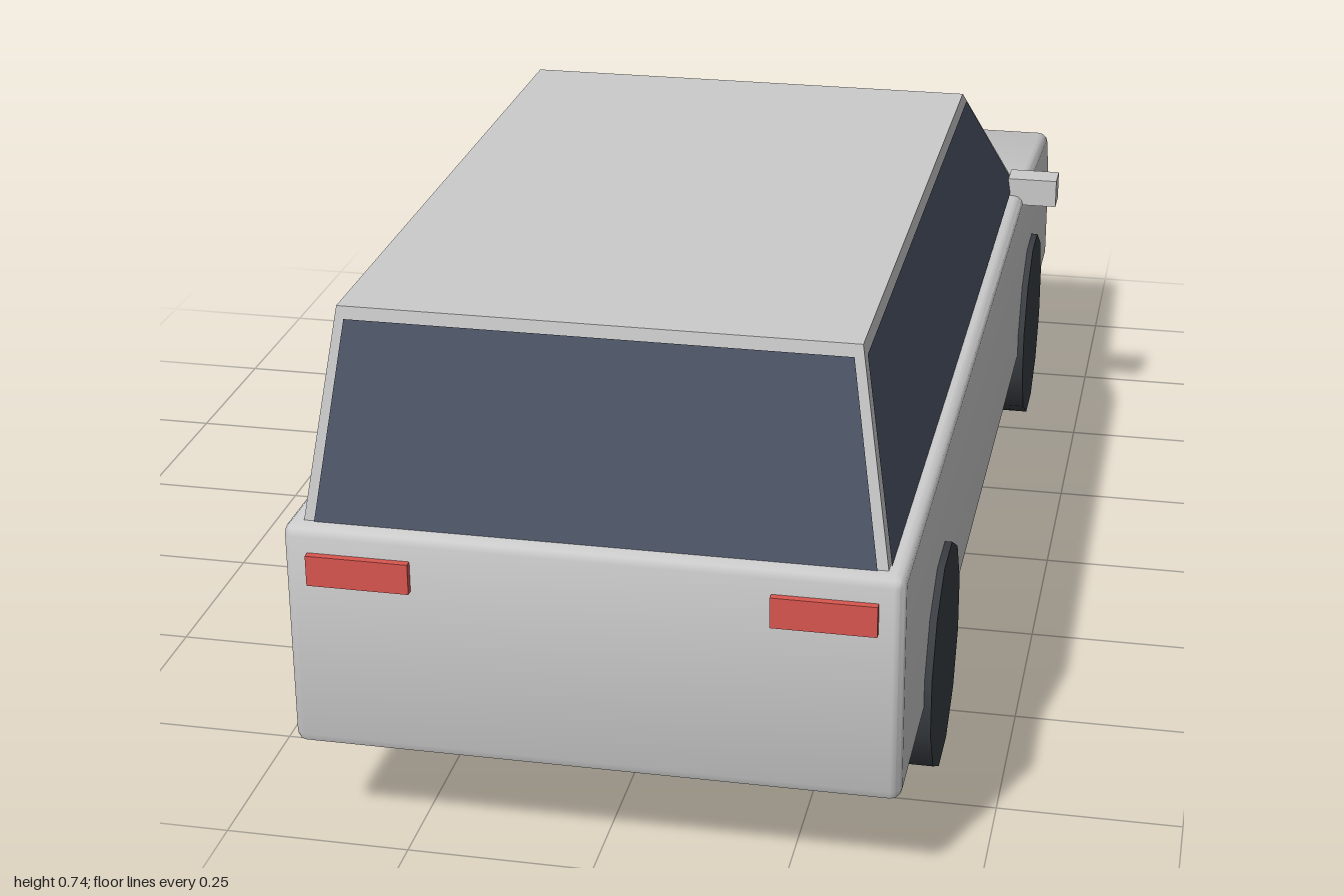
import * as THREE from 'three';
import { toCreasedNormals } from 'three/addons/utils/BufferGeometryUtils.js';

const mat = (color) => new THREE.MeshStandardMaterial({ color });
const V = (x, y, z) => new THREE.Vector3(x, y, z);

export function createModel() {
  const car = new THREE.Group();
  const paint = mat(0xcccccc);
  const glass = mat(0x4f586a);
  glass.side = THREE.DoubleSide;
  const rubber = mat(0x3a3e43);
  const red = mat(0xd9564f);
  const lamp = mat(0xc8ccd8);

  const add = (name, geometry, material) => {
    const mesh = new THREE.Mesh(geometry, material);
    mesh.name = name;
    car.add(mesh);
    return mesh;
  };

  // Flat-shaded polygon surface from quads, corners counter-clockwise
  const quads = (list) => {
    const points = list.flatMap(([a, b, c, d]) => [a, b, c, a, c, d]);
    const geometry = new THREE.BufferGeometry().setFromPoints(points);
    geometry.computeVertexNormals();
    return geometry;
  };

  // Lower body: side profile (z, y) extruded across the width
  const profile = [
    [-0.975, 0.14], [0.975, 0.14], [0.986, 0.144], [0.99, 0.155],
    [0.99, 0.442], [0.986, 0.452], [0.975, 0.457],
    [-0.5, 0.45], [-0.9, 0.412], [-0.925, 0.402], [-0.98, 0.325],
    [-0.99, 0.295], [-0.99, 0.155], [-0.986, 0.144],
  ];
  const shape = new THREE.Shape(profile.map(([z, y]) => new THREE.Vector2(z, y)));
  const bevel = 0.014;
  const bodyGeometry = new THREE.ExtrudeGeometry(shape, {
    depth: 0.8 - 2 * bevel, bevelEnabled: true, bevelSize: bevel,
    bevelThickness: bevel, bevelOffset: -bevel, bevelSegments: 3,
  });
  bodyGeometry.translate(0, 0, -0.4 + bevel).rotateY(-Math.PI / 2);
  add('body', toCreasedNormals(bodyGeometry, 0.8), paint);

  // Cabin: tapered box with a raked windscreen
  const [bl, br] = [V(0.378, 0.445, 0.972), V(-0.378, 0.445, 0.972)];
  const [fl, fr] = [V(0.378, 0.445, -0.525), V(-0.378, 0.445, -0.525)];
  const [tbl, tbr] = [V(0.333, 0.737, 0.925), V(-0.333, 0.737, 0.925)];
  const [tfl, tfr] = [V(0.333, 0.737, -0.088), V(-0.333, 0.737, -0.088)];
  const sides = {
    rearWindow: [br, bl, tbl, tbr],
    windscreen: [fl, fr, tfr, tfl],
    leftWindow: [bl, fl, tfl, tbl],
    rightWindow: [fr, br, tbr, tfr],
  };
  add('cabin', quads([...Object.values(sides), [tbr, tbl, tfl, tfr]]), paint);

  // Window panes: each cabin side shrunk by a frame margin, slightly proud
  for (const [name, corners] of Object.entries(sides)) {
    const [a, b, c, d] = corners;
    const at = (u, v) => a.clone().lerp(b, u).lerp(d.clone().lerp(c, u), v);
    const normal = b.clone().sub(a).cross(d.clone().sub(a)).normalize();
    const m = 0.014 / a.distanceTo(b);
    const pane = [at(m, 0.03), at(1 - m, 0.03), at(1 - m, 0.945), at(m, 0.945)];
    pane.forEach((p) => p.addScaledVector(normal, 0.002));
    add(name, quads([pane]), glass);
  }

  // Twelve-sided wheels resting on a flat
  const apothem = 0.153;
  const wheelGeometry = new THREE.CylinderGeometry(
    apothem / Math.cos(Math.PI / 12), apothem / Math.cos(Math.PI / 12), 0.105, 12);
  wheelGeometry.rotateY(Math.PI / 12).rotateZ(Math.PI / 2);

  for (const [side, s] of [['left', 1], ['right', -1]]) {
    for (const [end, z] of [['Rear', 0.615], ['Front', -0.615]]) {
      add(`${side}${end}Wheel`, wheelGeometry, rubber).position.set(s * 0.3575, apothem, z);
    }
    add(`${side}Mirror`, new THREE.BoxGeometry(0.08, 0.045, 0.048), paint)
      .position.set(s * 0.415, 0.4575, -0.468);
    add(`${side}TailLight`, new THREE.BoxGeometry(0.135, 0.042, 0.03), red)
      .position.set(s * 0.3, 0.4, 0.985);
    add(`${side}Headlight`, new THREE.BoxGeometry(0.135, 0.042, 0.03), lamp)
      .position.set(s * 0.3, 0.257, -0.985);
  }
  return car;
}
